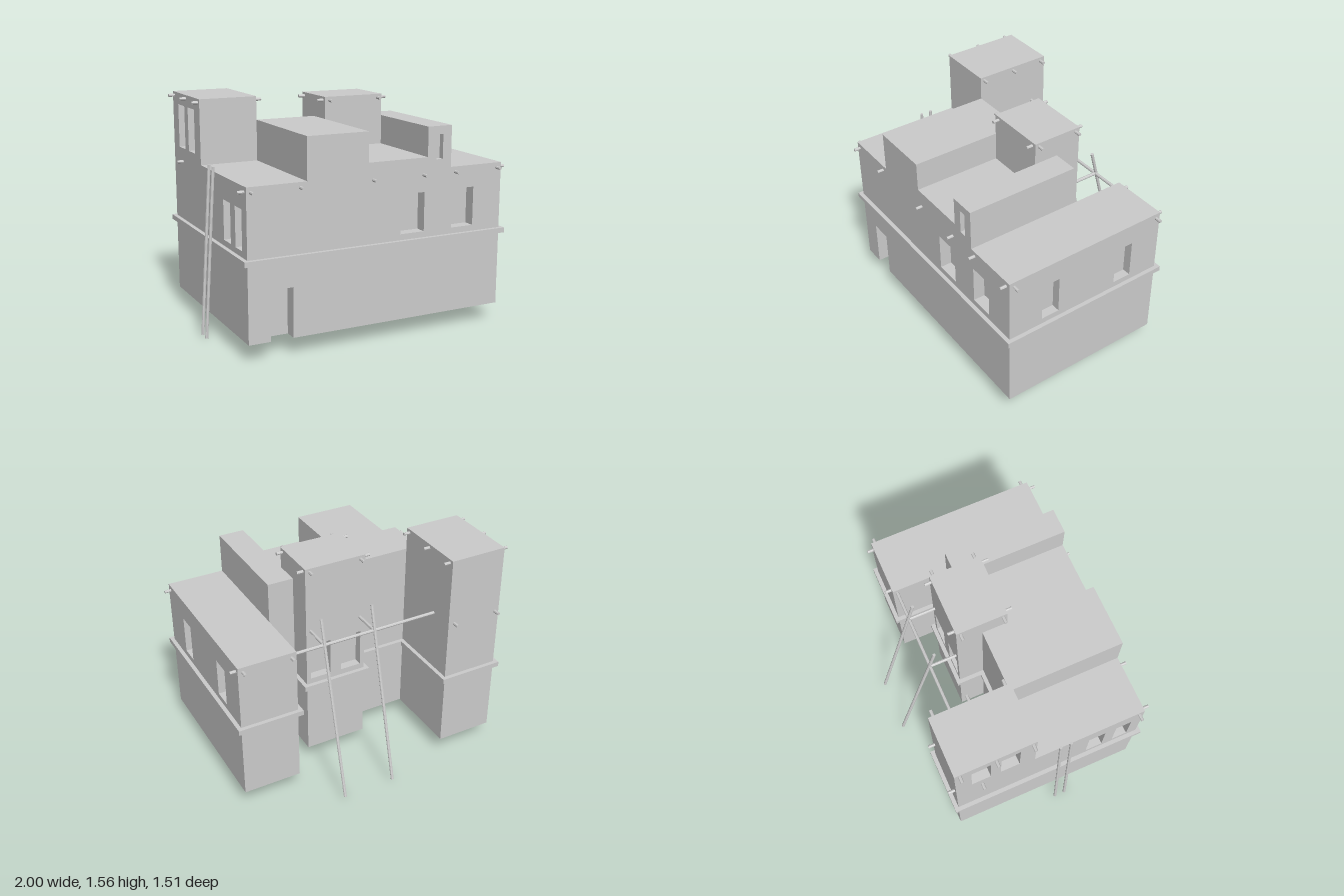
import * as THREE from 'three';

const BASE = 0.12, LOW = 1.12, MID = 1.4, TERRACE = 1.2, HIGH = 1.55, TALL = 1.56;

export function createModel() {
  const model = new THREE.Group();
  const mat = new THREE.MeshStandardMaterial({ color: 0xcccccc, flatShading: true, side: THREE.DoubleSide });

  const add = (name, geometry, parent = model) => {
    const mesh = new THREE.Mesh(geometry, mat);
    mesh.name = name;
    parent.add(mesh);
    return mesh;
  };

  // Box without its front face, set behind a wall opening
  const recess = (parent, name, [u0, u1, y0, y1, depth], openBottom = false) => {
    const g = new THREE.BoxGeometry(u1 - u0, y1 - y0, depth);
    const index = Array.from(g.index.array);
    g.setIndex(index.filter((_, i) => !(i >= 24 && i < 30) && !(openBottom && i >= 18 && i < 24)));
    g.clearGroups();
    g.translate((u0 + u1) / 2, (y0 + y1) / 2, -depth / 2);
    add(name, g, parent);
  };

  // Wall from a to b (x, z); its outline is in (distance from a, height)
  const wall = (name, a, b, outline, openings = []) => {
    const group = new THREE.Group();
    group.name = name;
    group.position.set(a[0], 0, a[1]);
    group.rotation.y = Math.atan2(a[1] - b[1], b[0] - a[0]);
    const shape = new THREE.Shape(outline.map(p => new THREE.Vector2(...p)));
    for (const o of openings) {
      const [u0, u1, y0, y1] = o;
      shape.holes.push(new THREE.Path([[u0, y0], [u0, y1], [u1, y1], [u1, y0]].map(p => new THREE.Vector2(...p))));
      recess(group, 'windowRecess', o);
    }
    add(name + 'Surface', new THREE.ShapeGeometry(shape), group);
    model.add(group);
    return group;
  };
  const plainWall = (name, a, b, y0, y1, openings) => {
    const w = Math.hypot(b[0] - a[0], b[1] - a[1]);
    return wall(name, a, b, [[0, y0], [w, y0], [w, y1], [0, y1]], openings);
  };
  const win = (u0, u1, depth = 0.06) => [u0, u1, 0.705, 0.97, depth];

  // Footprint, running round from the front right corner
  const plan = [
    [-0.905, 0.71], [0.955, 0.71], [0.955, -0.485], [0.55, -0.485], [0.55, -0.085], [0.37, -0.085],
    [0.37, -0.265], [-0.07, -0.265], [-0.07, -0.085], [-0.5, -0.085], [-0.5, -0.635], [-0.905, -0.635],
  ];

  // Front wall with stepped top, door notch and windows
  const X = 0.905;
  const front = wall('frontWall', plan[0], plan[1], [
    [-0.905, BASE], [-0.755, BASE], [-0.755, 0.455], [-0.6, 0.455], [-0.6, BASE], [0.955, BASE],
    [0.955, LOW], [0.55, LOW], [0.55, MID], [0.37, MID], [0.37, TERRACE], [-0.07, TERRACE],
    [-0.07, MID], [-0.5, MID], [-0.5, LOW], [-0.905, LOW],
  ].map(([x, y]) => [x + X, y]), [
    win(0.17 + X, 0.35 + X, 0.08), win(0.565 + X, 0.735 + X, 0.08), [0.435 + X, 0.485 + X, 1.18, 1.345, 0.04],
  ]);
  recess(front, 'doorRecess', [-0.755 + X, -0.6 + X, BASE, 0.455, 0.09], true);

  // Side and back walls: name, height, windows
  [
    ['leftSideWall', LOW, [win(0.25, 0.38), win(0.835, 0.97)]],
    ['leftWingBack', LOW],
    ['leftWingInnerWall', LOW],
    ['narrowBlockBack', MID],
    ['centreTowerLeft', HIGH],
    ['centreTowerBack', HIGH, [win(0.03, 0.18), win(0.26, 0.41)]],
    ['centreTowerRight', HIGH],
    ['wideBlockBack', MID],
    ['cornerTowerInnerWall', TALL],
    ['cornerTowerBack', TALL],
  ].forEach(([name, top, openings], i) => plainWall(name, plan[i + 1], plan[i + 2], BASE, top, openings));

  wall('rightSideWall', plan[11], plan[0],
    [[0, BASE], [1.345, BASE], [1.345, LOW], [0.55, LOW], [0.55, TALL], [0, TALL]], [
      [0.11, 0.24, 1.18, 1.48, 0.06], [0.31, 0.44, 1.18, 1.48, 0.06], win(0.955, 1.075), win(1.155, 1.265),
    ]);

  // Walls that rise between the roof levels
  plainWall('cornerTowerFront', [-0.905, -0.085], [-0.5, -0.085], LOW, TALL);
  plainWall('wideBlockRight', [-0.5, -0.085], [-0.5, 0.71], LOW, MID);
  plainWall('wideBlockLeft', [-0.07, 0.71], [-0.07, 0.09], TERRACE, MID);
  plainWall('narrowBlockRight', [0.37, 0.09], [0.37, 0.71], TERRACE, MID);
  plainWall('narrowBlockLeft', [0.55, 0.71], [0.55, -0.085], LOW, MID);
  plainWall('centreTowerFront', [-0.07, 0.09], [0.37, 0.09], TERRACE, HIGH);
  plainWall('centreTowerUpperLeft', [0.37, 0.09], [0.37, -0.085], MID, HIGH);
  plainWall('centreTowerUpperRight', [-0.07, -0.085], [-0.07, 0.09], MID, HIGH);

  // Flat roofs
  for (const [name, x0, x1, z0, z1, y] of [
    ['rightRoof', -0.905, -0.5, -0.085, 0.71, LOW],
    ['cornerTowerRoof', -0.905, -0.5, -0.635, -0.085, TALL],
    ['wideBlockRoof', -0.5, -0.07, -0.085, 0.71, MID],
    ['terrace', -0.07, 0.37, 0.09, 0.71, TERRACE],
    ['centreTowerRoof', -0.07, 0.37, -0.265, 0.09, HIGH],
    ['narrowBlockRoof', 0.37, 0.55, -0.085, 0.71, MID],
    ['leftRoof', 0.55, 0.955, -0.485, 0.71, LOW],
  ]) {
    const g = new THREE.PlaneGeometry(x1 - x0, z1 - z0).rotateX(-Math.PI / 2);
    add(name, g.translate((x0 + x1) / 2, y, (z0 + z1) / 2));
  }

  // Ledge and floor between the storeys: the footprint pushed outward
  const dir = (a, b) => [Math.sign(b[0] - a[0]), Math.sign(b[1] - a[1])];
  const ledge = new THREE.Shape(plan.map((p, i) => {
    const d = dir(plan[(i + 11) % 12], p), e = dir(p, plan[(i + 1) % 12]);
    const x = p[0] - 0.028 * (d[1] + e[1]), z = p[1] + 0.028 * (d[0] + e[0]);
    return new THREE.Vector2(x, -z);
  }));
  add('ledge', new THREE.ExtrudeGeometry(ledge, { depth: 0.035, bevelEnabled: false })
    .rotateX(-Math.PI / 2).translate(0, 0.63, 0));

  // Round timbers
  const pole = (name, from, to, r = 0.011) => {
    const a = new THREE.Vector3(...from), b = new THREE.Vector3(...to);
    const mesh = add(name, new THREE.CylinderGeometry(r, r, a.distanceTo(b), 8));
    mesh.position.copy(a).add(b).multiplyScalar(0.5);
    mesh.quaternion.setFromUnitVectors(new THREE.Vector3(0, 1, 0), b.sub(a).normalize());
  };
  const stubX = (x, y, z, s) => pole('beamEnd', [x - s * 0.03, y, z], [x + s * 0.045, y, z]);
  const stubZ = (x, y, z, s) => pole('beamEnd', [x, y, z - s * 0.03], [x, y, z + s * 0.045]);

  // Beam ends around the main roof
  const by = 1.085;
  for (const x of [-0.875, -0.545, -0.035, 0.34, 0.585, 0.92]) stubZ(x, by, 0.71, 1);
  for (const x of [0.585, 0.92]) stubZ(x, by, -0.485, -1);
  for (const x of [-0.875, -0.545]) stubZ(x, by, -0.635, -1);
  stubX(0.955, by, 0.675, 1);
  stubX(-0.905, by, 0.675, -1);

  // Beam ends on the two towers
  for (const z of [-0.6, -0.36, -0.115]) {
    stubX(-0.905, 1.535, z, -1);
    stubX(-0.5, 1.535, z, 1);
  }
  for (const z of [-0.235, 0.06]) {
    stubX(-0.07, 1.525, z, -1);
    stubX(0.37, 1.525, z, 1);
  }

  // Long cross beam, its supports and the leaning poles at the back
  pole('crossBeam', [-0.95, by, -0.455], [0.997, by, -0.455]);
  for (const x of [-0.035, 0.337]) {
    stubZ(x, 1.525, 0.09, 1);
    stubZ(x, 1.525, -0.265, -1);
    pole('supportBeam', [x, by, -0.24], [x, by, -0.465]);
    pole('backLeaningPole', [x, 0.025, -0.745], [x, 1.26, -0.415]);
  }

  // Pair of poles leaning on the right side
  for (const z of [0.095, 0.17]) pole('sideLeaningPole', [-0.989, 0.001, z], [-0.912, 1.155, z]);

  return model;
}
